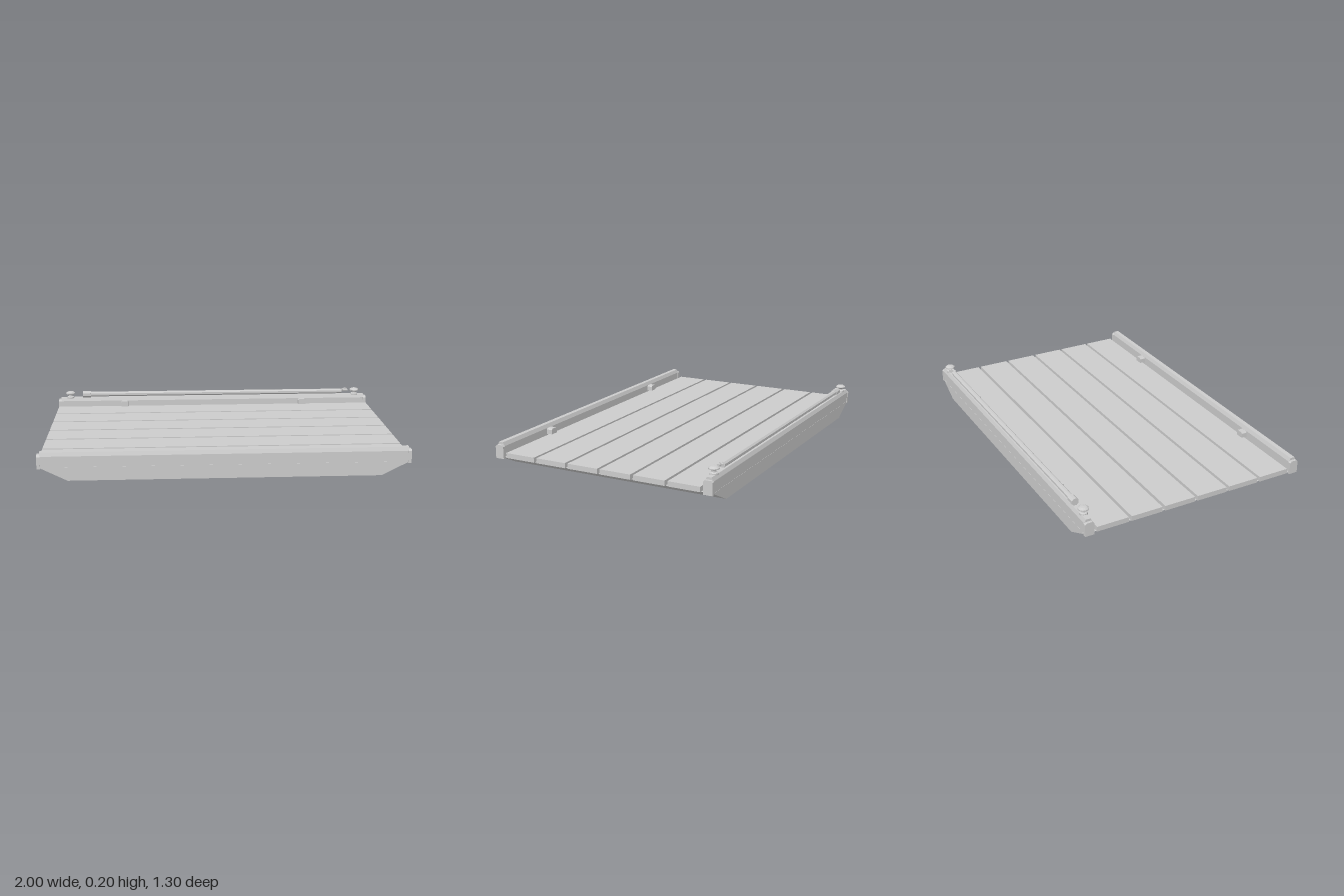
import * as THREE from 'three';

export function createModel() {
  const model = new THREE.Group();
  const grey = new THREE.MeshStandardMaterial({ color: 0xcccccc });
  grey.name = 'light grey';
  grey.flatShading = true;

  const add = (name, geometry, x = 0, y = 0, z = 0, parent = model) => {
    const mesh = new THREE.Mesh(geometry, grey);
    mesh.name = name;
    mesh.position.set(x, y, z);
    parent.add(mesh);
    return mesh;
  };
  // Extrude a closed outline, centred along its depth
  const prism = (points, depth) => new THREE.ExtrudeGeometry(
    new THREE.Shape(points.map(([x, y]) => new THREE.Vector2(x, y))),
    { depth, bevelEnabled: false }).translate(0, 0, -depth / 2);

  // Flat-bottomed hull with raked ends
  add('hull', prism([[-0.84, 0], [0.84, 0], [0.99, 0.075], [-0.99, 0.075]], 1.292));

  // Six deck planks separated by narrow gaps
  for (let i = 0; i < 6; i++) {
    add('deckPlank', new THREE.BoxGeometry(1.996, 0.028, 0.18), 0, 0.089, (i - 2.5) * 0.1965);
  }

  // Side rails with chamfered tops, end caps and small inner blocks
  const railProfile = [[-0.022, 0.07], [0.022, 0.07], [0.022, 0.134], [0.013, 0.155], [-0.013, 0.155], [-0.022, 0.134]];
  const capProfile = [[-0.025, 0.066], [0.025, 0.066], [0.025, 0.133], [0.016, 0.142], [-0.016, 0.142], [-0.025, 0.133]];
  const blockProfile = [[-0.024, 0.1], [0.024, 0.1], [0.024, 0.128], [0.017, 0.135], [-0.017, 0.135], [-0.024, 0.128]];
  for (const side of [-1, 1]) {
    const z = side * 0.623;
    add('rail', prism(railProfile, 1.97).rotateY(Math.PI / 2), 0, 0, z);
    for (const end of [-1, 1]) {
      add('railEndCap', prism(capProfile, 0.018).rotateY(Math.PI / 2), end * 0.991, 0, z);
      add('railBlock', prism(blockProfile, 0.034), end * 0.575, 0, side * 0.582);
    }
  }

  // Mushroom bollards on the rear rail
  const bollardProfile = [[0, 0.15], [0.022, 0.15], [0.022, 0.16], [0.013, 0.165], [0.013, 0.172],
    [0.029, 0.18], [0.029, 0.186], [0.018, 0.194], [0, 0.196]].map(([r, y]) => new THREE.Vector2(r, y));
  for (const side of [-1, 1]) {
    add('bollard', new THREE.LatheGeometry(bollardProfile, 12), side * 0.925, 0, -0.619);
  }

  // Boat pole lying on the rear rail: shaft, grip, and hooked tip
  const pole = new THREE.Group();
  pole.name = 'boatPole';
  pole.position.set(0, 0.174, -0.623);
  model.add(pole);
  const rod = (radius, length) => new THREE.CylinderGeometry(radius, radius, length, 8)
    .rotateY(Math.PI / 8).rotateZ(Math.PI / 2);
  add('poleShaft', rod(0.0155, 1.64), 0.02, 0, 0, pole);
  add('poleGrip', rod(0.021, 0.05), -0.82, 0, 0, pole);
  add('poleTip', rod(0.009, 0.045), 0.857, 0.008, 0.004, pole);
  const hook = add('poleHook', new THREE.BoxGeometry(0.045, 0.012, 0.01), 0.86, 0.012, -0.004, pole);
  hook.rotation.y = Math.PI / 4;

  return model;
}
